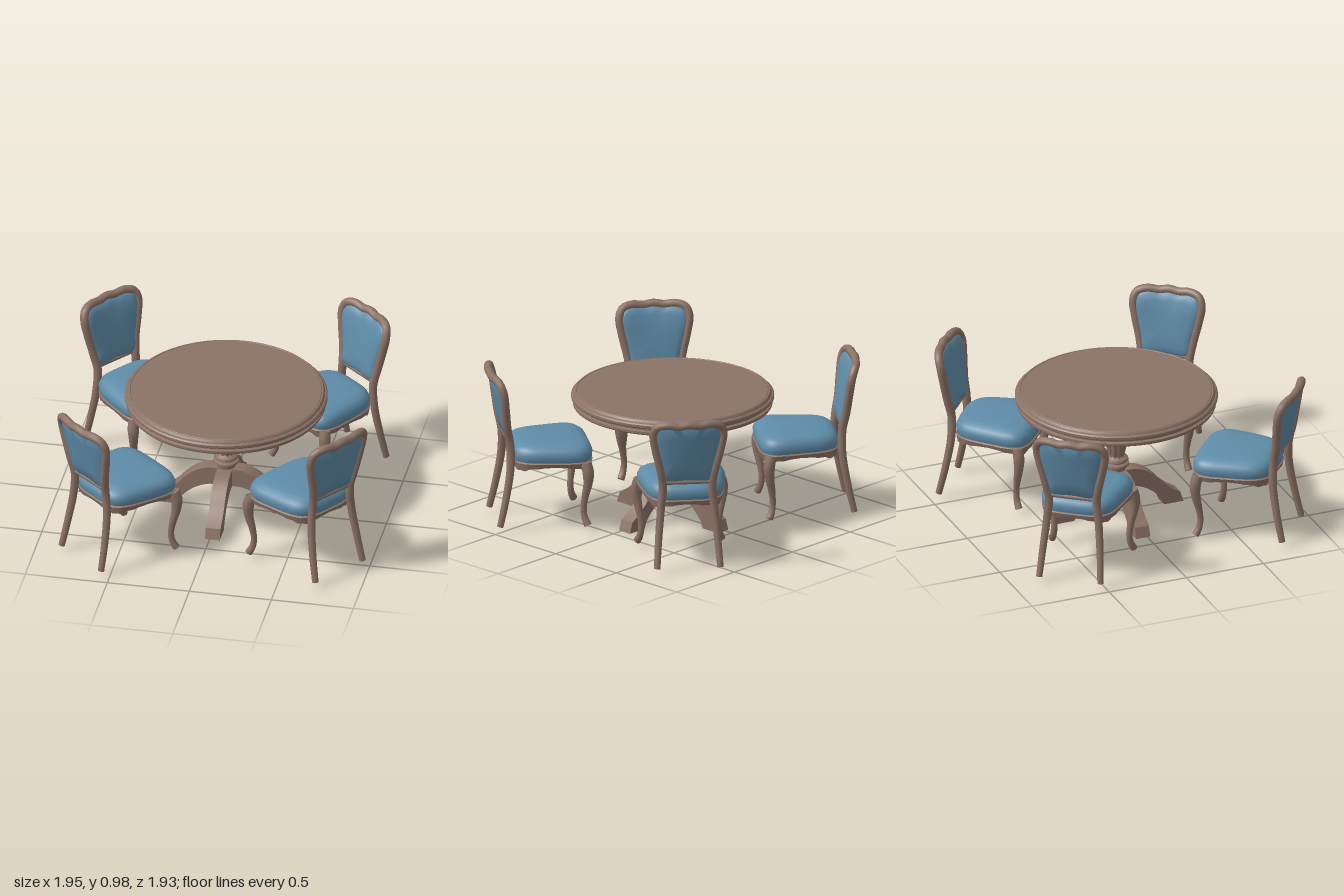
import * as THREE from 'three';
import { toCreasedNormals } from 'three/addons/utils/BufferGeometryUtils.js';

const wood = new THREE.MeshStandardMaterial({ color: 0x8b7266 });
wood.name = 'wood';
const fabric = new THREE.MeshStandardMaterial({ color: 0x5f8ca8 });
fabric.name = 'blueFabric';

const V3 = (x, y, z) => new THREE.Vector3(x, y, z);
const V2 = (x, y) => new THREE.Vector2(x, y);

function add(parent, name, geometry, material, crease = 0.8) {
  const mesh = new THREE.Mesh(toCreasedNormals(geometry, crease), material);
  mesh.name = name;
  parent.add(mesh);
  return mesh;
}

// Surface through a list of closed rings with equal point counts
function loft(rings) {
  const n = rings[0].length, index = [];
  for (let j = 0; j < rings.length - 1; j++) {
    for (let i = 0; i < n; i++) {
      const a = j * n + i, b = j * n + (i + 1) % n;
      index.push(a, b, a + n, b, b + n, a + n);
    }
  }
  const g = new THREE.BufferGeometry().setFromPoints(rings.flat());
  g.setIndex(index);
  return g;
}

// Round bar along a path, with a radius rule and flat closed ends
function sweep(points, radius, segments, sides = 10) {
  const curve = new THREE.CatmullRomCurve3(points, false, 'centripetal');
  const g = new THREE.TubeGeometry(curve, segments, 1, sides, false);
  const pos = g.attributes.position, nor = g.attributes.normal;
  for (let i = 0; i < pos.count; i++) {
    const ring = Math.floor(i / (sides + 1));
    const end = ring === 0 || ring === segments;
    const t = ring === 1 ? 0 : ring === segments - 1 ? 1 : ring / segments;
    const c = curve.getPointAt(t), r = end ? 0 : radius(t);
    pos.setXYZ(i, c.x + nor.getX(i) * r, c.y + nor.getY(i) * r, c.z + nor.getZ(i) * r);
  }
  return g;
}

// Depth of the raked, curved chair back and its rear legs
function backDepth(x, y) {
  if (y < 0.5) return 0.135 - 0.075 * Math.pow((0.5 - y) / 0.46, 1.5);
  const k = THREE.MathUtils.smoothstep(y, 0.5, 0.9);
  return 0.135 - 0.235 * (y - 0.5) + 0.035 * k * (x / 0.22) ** 2;
}

// Seat plan: a rounded trapezoid, wider at the front
function seatPoint(a, scale, y) {
  const soft = (v) => Math.sign(v) * Math.pow(Math.abs(v), 0.5);
  const x = soft(Math.cos(a)), z = soft(Math.sin(a));
  return V3(x * (0.25 + 0.035 * z) * scale, y, 0.385 + 0.245 * z * scale);
}

function seatRing(scale, y) {
  const n = 64;
  return Array.from({ length: n }, (_, i) => {
    const a = (i / n) * Math.PI * 2;
    return seatPoint(a, scale, typeof y === 'function' ? y(a) : y);
  });
}

function createChair() {
  const chair = new THREE.Group();

  // Cushion and apron
  const cushion = [[0, 0.543], [0.4, 0.542], [0.7, 0.538], [0.86, 0.527], [0.95, 0.51],
    [1, 0.48], [0.99, 0.45], [0.96, 0.43], [0.93, 0.41], [0, 0.41]];
  add(chair, 'seatCushion', loft(cushion.map(([s, y]) => seatRing(s, y))), fabric);
  const hem = (a) => 0.405 - 0.022 * Math.sin(2 * a) ** 2 + 0.004 * Math.cos(16 * a);
  add(chair, 'seatApron', loft([seatRing(0.97, 0.437), seatRing(1, 0.43), seatRing(0.97, hem),
    seatRing(0.9, hem), seatRing(0.9, 0.437), seatRing(0.97, 0.437)]), wood);

  // Rear legs, posts and crest in one bent bar
  const half = [[0.19, 0.037], [0.178, 0.2], [0.16, 0.4], [0.148, 0.54], [0.165, 0.65], [0.195, 0.78],
    [0.21, 0.88], [0.19, 0.932], [0.13, 0.95], [0.06, 0.943]];
  const mirrored = (h) => [...h, [0, 0.952], ...h.map(([x, y]) => [-x, y]).reverse()];
  const bent = ([x, y]) => V3(x, y, backDepth(x, y));
  add(chair, 'backFrameAndRearLegs',
    sweep(mirrored(half).map(bent), (t) => 0.0195 + 0.006 * Math.min(1, 5 * Math.min(t, 1 - t)), 110), wood);
  add(chair, 'backRail', sweep([-0.15, -0.05, 0.05, 0.15].map((x) => bent([x, 0.56])), () => 0.014, 10), wood);

  // Upholstered back panel, plump in front and flatter behind
  const outline = new THREE.CatmullRomCurve3(
    [...mirrored([[0.148, 0.562], ...half.slice(4)]), [0, 0.562]].map(([x, y]) => V3(x, y, 0)),
    true, 'centripetal').getPoints(60).slice(0, 60);
  const panel = [[0, -0.014], [0.5, -0.014], [0.9, -0.012], [0.97, 0], [0.93, 0.016], [0.86, 0.026],
    [0.7, 0.032], [0.35, 0.036], [0, 0.036]];
  add(chair, 'backPanel', loft(panel.map(([s, off]) => outline.map((p) => {
    const x = p.x * s, y = 0.76 + (p.y - 0.76) * s;
    return V3(x, y, backDepth(x, y) + off);
  }))), fabric);

  // Curved front legs
  const path = [[0.245, 0.43, 0.57], [0.257, 0.37, 0.582], [0.255, 0.3, 0.58], [0.24, 0.21, 0.565],
    [0.232, 0.13, 0.558], [0.24, 0.075, 0.566], [0.254, 0.037, 0.582]];
  const radii = [0.034, 0.035, 0.028, 0.023, 0.019, 0.019, 0.023];
  const legRadius = (t) => {
    const k = Math.min(t * 6, 5.999), i = Math.floor(k);
    return THREE.MathUtils.lerp(radii[i], radii[i + 1], k - i);
  };
  for (const s of [1, -1]) {
    add(chair, s > 0 ? 'leftFrontLeg' : 'rightFrontLeg',
      sweep(path.map(([x, y, z]) => V3(s * x, y, z)), legRadius, 28), wood);
  }
  return chair;
}

function createTable() {
  const table = new THREE.Group();
  const lathe = (name, pts, sides = 40) =>
    add(table, name, new THREE.LatheGeometry(pts.map(([r, y]) => V2(r, y)), sides), wood, 0.5);

  // Round top with a stepped, moulded edge
  lathe('tableTop', [[0, 0.708], [0.592, 0.708], [0.596, 0.714], [0.596, 0.728], [0.58, 0.734], [0.58, 0.745],
    [0.6, 0.75], [0.607, 0.757], [0.607, 0.772], [0.6, 0.779], [0.592, 0.781], [0.589, 0.79],
    [0.582, 0.797], [0.575, 0.797], [0.573, 0.794], [0.569, 0.797], [0, 0.797]], 96);

  // Turned column
  lathe('columnNeck', [[0.06, 0.545], [0.064, 0.553], [0.064, 0.565], [0.054, 0.575], [0.05, 0.585], [0.05, 0.71]]);
  lathe('columnRings', [[0.05, 0.28], [0.06, 0.285], [0.062, 0.3], [0.078, 0.308], [0.076, 0.318],
    [0.058, 0.325], [0.058, 0.333], [0.074, 0.34], [0.07, 0.352], [0.05, 0.362], [0.04, 0.37]]);
  lathe('columnHub', [[0, 0.155], [0.052, 0.155], [0.056, 0.17], [0.056, 0.285], [0, 0.29]]);

  // Baluster with carved upright ribs
  const baluster = new THREE.LatheGeometry([[0.046, 0.355], [0.047, 0.375], [0.055, 0.41], [0.062, 0.45],
    [0.063, 0.49], [0.058, 0.53], [0.056, 0.55]].map(([r, y]) => V2(r, y)), 80);
  const pos = baluster.attributes.position;
  for (let i = 0; i < pos.count; i++) {
    const k = 1 + 0.07 * Math.cos(10 * Math.atan2(pos.getZ(i), pos.getX(i)));
    pos.setXYZ(i, pos.getX(i) * k, pos.getY(i), pos.getZ(i) * k);
  }
  add(table, 'columnBaluster', baluster, wood);

  // Four arched feet
  const s = new THREE.Shape();
  s.moveTo(0, 0.16);
  s.lineTo(0.09, 0.16);
  s.quadraticCurveTo(0.2, 0.14, 0.275, 0.04);
  s.lineTo(0.29, 0);
  s.lineTo(0.417, 0);
  s.lineTo(0.395, 0.065);
  s.quadraticCurveTo(0.33, 0.1, 0.28, 0.15);
  s.quadraticCurveTo(0.2, 0.255, 0.1, 0.272);
  s.lineTo(0, 0.276);
  const foot = new THREE.ExtrudeGeometry(s, { depth: 0.09, bevelEnabled: false, curveSegments: 8 });
  foot.translate(0, 0, -0.045);
  for (let i = 0; i < 4; i++) add(table, 'tableFoot', foot, wood, 0.5).rotation.y = (i * Math.PI) / 2;
  return table;
}

export function createModel() {
  const model = new THREE.Group();
  model.name = 'diningSet';

  const table = createTable();
  table.name = 'table';
  table.position.set(0.017, 0, -0.027);
  model.add(table);

  // Chairs: back position x, z and facing direction x, z
  const places = [[-0.875, -0.72, 0.787, 0.617], [0.75, -0.87, -0.645, 0.764],
    [0.89, 0.69, -0.805, -0.593], [-0.735, 0.855, 0.647, -0.762]];
  for (const [x, z, fx, fz] of places) {
    const chair = createChair();
    chair.name = 'chair';
    chair.position.set(x, 0, z);
    chair.rotation.y = Math.atan2(fx, fz);
    model.add(chair);
  }
  return model;
}
